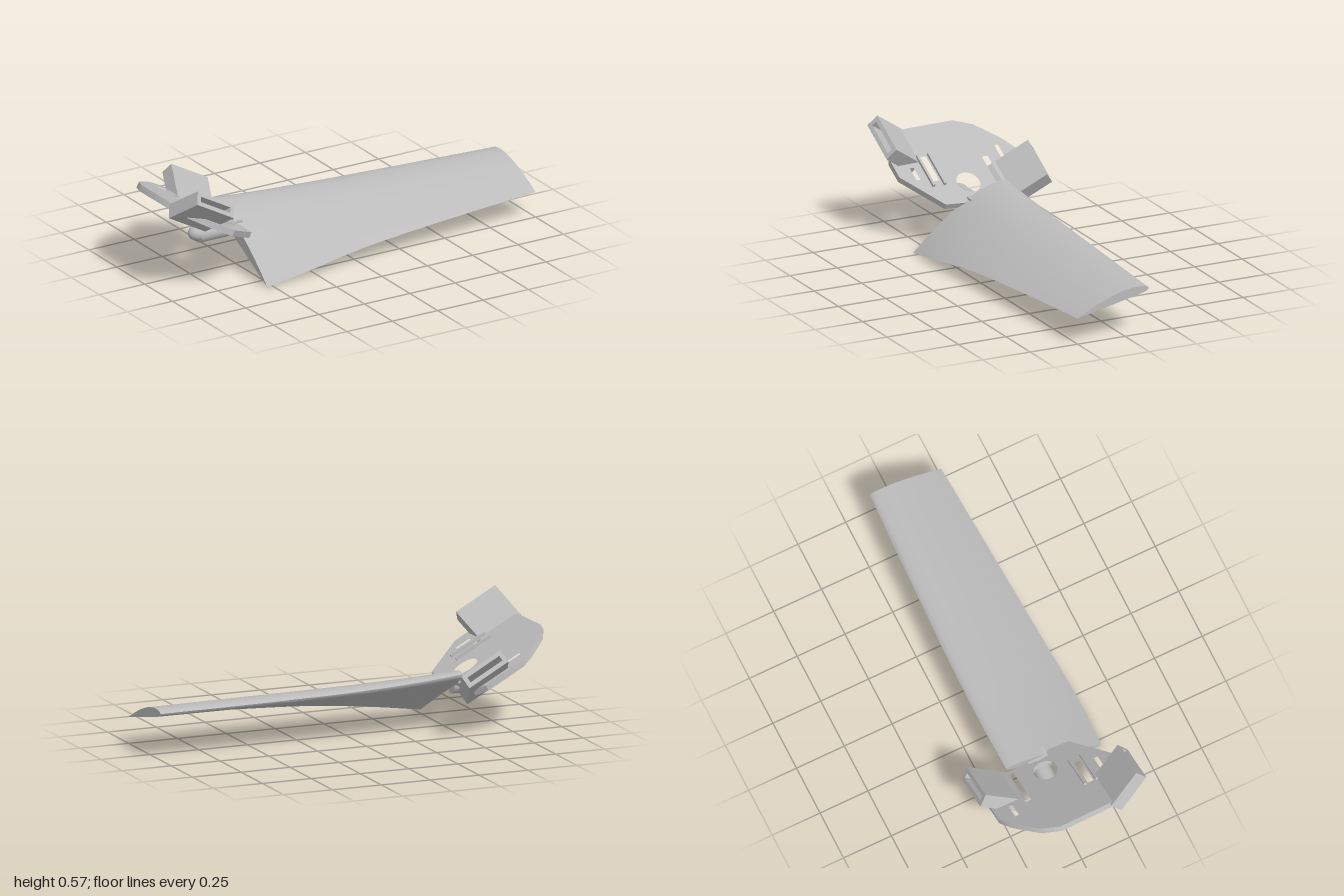
import * as THREE from 'three';
import { toCreasedNormals } from 'three/addons/utils/BufferGeometryUtils.js';

const V = (x, y, z) => new THREE.Vector3(x, y, z);
const TILT = 0.5; // slope of the mounting plate

export function createModel() {
  const group = new THREE.Group();
  const grey = new THREE.MeshStandardMaterial({ color: 0xbbbbbb });
  const add = (name, geometry, parent = group) => {
    const mesh = new THREE.Mesh(geometry, grey);
    mesh.name = name;
    parent.add(mesh);
    return mesh;
  };

  add('blade', bladeGeometry());

  // Tilted mounting plate, outlined in plan as x, z
  const plate = new THREE.Group();
  plate.name = 'mountingPlate';
  plate.position.set(-0.735, 0.343, 0);
  plate.rotation.z = -TILT;
  group.add(plate);
  const local = (x, z) => new THREE.Vector2((x + 0.735) / Math.cos(TILT), -z);
  const outline = [
    [-0.955, 0.17], [-0.96, -0.09], [-0.92, -0.18], [-0.82, -0.28], [-0.76, -0.32], [-0.58, -0.32],
    [-0.53, -0.28], [-0.53, -0.06], [-0.505, 0.03], [-0.515, 0.17], [-0.70, 0.32], [-0.80, 0.32], [-0.91, 0.26],
  ];
  const shape = new THREE.Shape(outline.map(([x, z]) => local(x, z)));
  const slots = [[-0.79, -0.65, 0.135, 0.165], [-0.74, -0.55, -0.165, -0.135], [-0.79, -0.72, -0.245, -0.225], [-0.74, -0.67, 0.225, 0.245]];
  for (const [x0, x1, z0, z1] of slots) {
    shape.holes.push(new THREE.Path([local(x0, z0), local(x1, z0), local(x1, z1), local(x0, z1)]));
  }
  const bore = new THREE.Path();
  const c = local(-0.615, 0);
  bore.absellipse(c.x, c.y, 0.063, 0.057, 0, Math.PI * 2, true);
  shape.holes.push(bore);
  const depth = 0.03;
  const slab = new THREE.ExtrudeGeometry(shape, { depth, bevelEnabled: false, curveSegments: 20 });
  slab.rotateX(-Math.PI / 2).translate(0, -depth, 0);
  add('plate', toCreasedNormals(slab, 0.6), plate);

  // Thin ribs beside the slots
  for (const z of [0.18, 0.12]) {
    add('slotRib', new THREE.BoxGeometry(0.2, 0.016, 0.012), plate).position.set(0.03, 0.006, z);
  }

  // Slotted sleeves at both ends, rising outward
  const u = V(0.2, -0.11, 0);
  add('frontSleeve', sleeveGeometry(V(-0.91, 0.57, 0.33), u, V(-0.025, -0.05, 0.04), V(-0.06, -0.11, -0.16)));
  add('backSleeve', sleeveGeometry(V(-0.65, 0.425, -0.33), V(-0.025, -0.05, -0.04), u, V(-0.067, -0.123, 0.18)));

  // Hub below the bore
  const hub = add('hub', new THREE.CylinderGeometry(0.043, 0.043, 0.17, 24));
  hub.rotation.z = Math.PI / 2;
  hub.position.set(-0.625, 0.197, 0);
  const nose = add('hubNose', new THREE.SphereGeometry(0.043, 24, 12));
  nose.scale.set(1.2, 0.9, 1);
  nose.position.set(-0.705, 0.203, 0);

  // Joint between plate and blade root
  add('bladeJoint', new THREE.BoxGeometry(0.09, 0.03, 0.1)).position.set(-0.535, 0.222, 0.0);

  return group;
}

// Box with a slot running along w; a x b must point along w
function sleeveGeometry(corner, a, b, w) {
  const la = a.length(), lb = b.length(), t = 0.021;
  const rect = (i) => [[i, i], [la - i, i], [la - i, lb - i], [i, lb - i]].map(([x, y]) => new THREE.Vector2(x, y));
  const shape = new THREE.Shape(rect(0));
  shape.holes.push(new THREE.Path(rect(t)));
  const geo = new THREE.ExtrudeGeometry(shape, { depth: w.length(), bevelEnabled: false });
  const m = new THREE.Matrix4().makeBasis(a.clone().normalize(), b.clone().normalize(), w.clone().normalize());
  return geo.applyMatrix4(m.setPosition(corner));
}

// Twisted, tapering airfoil lofted along x, with both ends closed
function bladeGeometry() {
  // x, trailing edge z and y, leading edge z and y
  const stations = [
    [-0.53, 0.335, 0.004, -0.165, 0.283], [-0.3, 0.334, 0.038, -0.167, 0.264], [0, 0.312, 0.077, -0.163, 0.248],
    [0.4, 0.287, 0.105, -0.15, 0.237], [1, 0.25, 0.131, -0.125, 0.226],
  ];
  const curves = [1, 2, 3, 4].map((k) => new THREE.CatmullRomCurve3(stations.map((s) => V(s[0], s[k], 0))));
  const n = 16, spans = 28;
  const profile = [];
  for (let i = 0; i < 2 * n; i++) {
    // Runs from the trailing edge over the top and back underneath
    const s = 0.5 * (1 + Math.cos((Math.PI * i) / n));
    const half = 0.6 * (0.2969 * Math.sqrt(s) - 0.126 * s - 0.3516 * s * s + 0.2843 * s ** 3 - 0.1036 * s ** 4);
    const camber = s < 0.4 ? 0.25 * (0.8 * s - s * s) : (0.04 / 0.36) * (0.2 + 0.8 * s - s * s);
    profile.push([s, camber + (i < n ? half : -half)]);
  }
  const ring = 2 * n, pos = [], index = [];
  for (let j = 0; j <= spans; j++) {
    const p = curves.map((k) => k.getPoint(j / spans));
    const x = p[0].x, [zt, yt, zl, yl] = p.map((q) => q.y);
    const dz = zt - zl, dy = yt - yl;
    for (const [s, h] of profile) pos.push(x, yl + s * dy + h * dz, zl + s * dz - h * dy);
  }
  for (let j = 0; j < spans; j++) {
    for (let i = 0; i < ring; i++) {
      const a = j * ring + i, b = j * ring + ((i + 1) % ring);
      index.push(a, a + ring, b, b, a + ring, b + ring);
    }
  }
  const last = spans * ring;
  for (let i = 1; i < ring - 1; i++) {
    index.push(0, i, i + 1);
    index.push(last, last + i + 1, last + i);
  }
  const geo = new THREE.BufferGeometry();
  geo.setAttribute('position', new THREE.Float32BufferAttribute(pos, 3));
  geo.setIndex(index);
  return toCreasedNormals(geo, 0.7);
}
